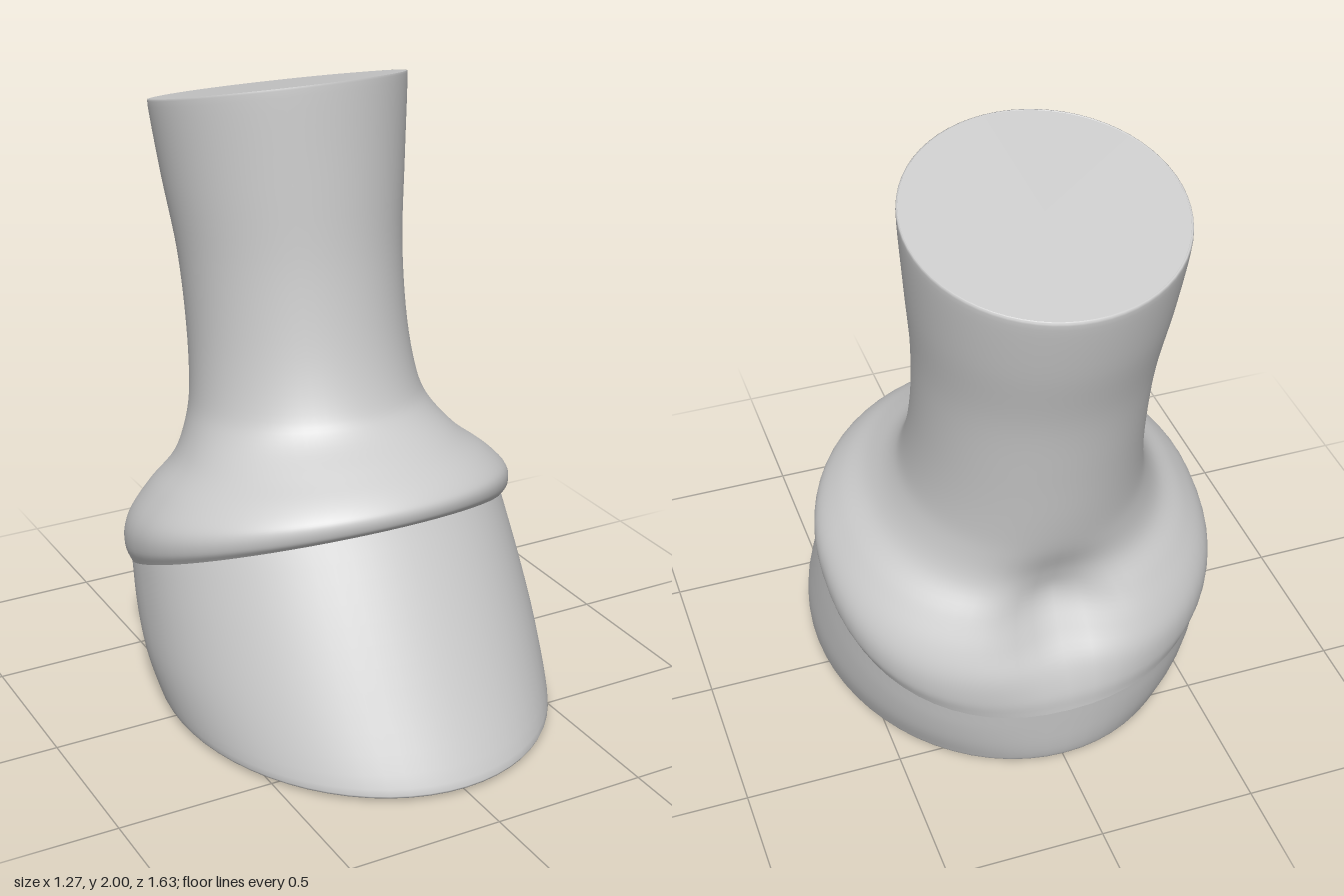
import * as THREE from 'three';

const SIDES = 64;

// Ring: [front z, front y, back z, back y, half width, back squareness, back cleft depth]
function ringPoint(r, j) {
  const [zf, yf, zb, yb, w, square = 2, cleft = 0] = r;
  const a = (j / SIDES) * Math.PI * 2;
  const c = Math.cos(a), s = Math.sin(a);
  const e = c < 0 ? 2 / square : 1;
  const x = w * Math.sign(s) * Math.abs(s) ** e;
  const k = Math.sign(c) * Math.abs(c) ** e;
  const y = (yf + yb) / 2 + k * (yf - yb) / 2;
  let z = (zf + zb) / 2 + k * (zf - zb) / 2;
  if (c < 0) z += cleft * Math.exp(-((x / 0.15) ** 2));
  return [x, y, z];
}

// Smooths a short list of rings into a dense one
function refine(rings, steps) {
  const full = rings.map((r) => [...r, ...[2, 0].slice(r.length - 5)]);
  const spline = (i) => new THREE.CatmullRomCurve3(
    full.map((r) => new THREE.Vector3(r[i], r[i + 1], r[i + 2] ?? 0)), false, 'catmullrom');
  const curves = [spline(0), spline(3), spline(6)];
  const n = (rings.length - 1) * steps;
  return Array.from({ length: n + 1 }, (_, i) =>
    curves.flatMap((c) => c.getPoint(i / n).toArray()).slice(0, 7));
}

// Skins rings listed from top to bottom
function loft(name, rings) {
  const pos = [], idx = [];
  rings.forEach((r) => {
    for (let j = 0; j < SIDES; j++) pos.push(...ringPoint(r, j));
  });
  for (let i = 0; i < rings.length - 1; i++) {
    for (let j = 0; j < SIDES; j++) {
      const k = (j + 1) % SIDES;
      const a = i * SIDES + j, b = a + SIDES, c = (i + 1) * SIDES + k, d = i * SIDES + k;
      idx.push(a, b, c, a, c, d);
    }
  }
  const g = new THREE.BufferGeometry();
  g.setAttribute('position', new THREE.Float32BufferAttribute(pos, 3));
  g.setIndex(idx);
  g.computeVertexNormals();
  const mesh = new THREE.Mesh(g, new THREE.MeshStandardMaterial({ color: 0xcccccc, side: THREE.DoubleSide }));
  mesh.name = name;
  return mesh;
}

export function createModel() {
  const group = new THREE.Group();
  group.name = 'hoofedFoot';

  // Pastern flaring into the coronet band, with a cleft between the heel bulbs
  const coronet = [0.42, 0.715, -0.7, 0.25, 0.612, 2.2, 0];
  const skin = [
    [-0.005, 2.0, -0.805, 1.815, 0.405],
    [0.0, 1.975, -0.81, 1.79, 0.41],
    [0.016, 1.7, -0.765, 1.6, 0.387],
    [0.037, 1.42, -0.7, 1.38, 0.36],
    [0.08, 1.17, -0.655, 1.15, 0.355],
    [0.135, 1.0, -0.62, 0.95, 0.37],
    [0.19, 0.93, -0.6, 0.82, 0.4, 2.05, 0.01],
    [0.3, 0.87, -0.595, 0.7, 0.46, 2.2, 0.05],
    [0.38, 0.825, -0.63, 0.6, 0.545, 2.35, 0.1],
    [0.425, 0.79, -0.67, 0.5, 0.605, 2.4, 0.08],
    [0.44, 0.765, -0.7, 0.41, 0.63, 2.35, 0.04],
    [0.436, 0.735, -0.705, 0.32, 0.63, 2.3, 0.01],
    coronet,
  ];
  group.add(loft('pasternAndCoronet', refine(skin, 5)));

  // Slanted cut across the top of the leg
  group.add(loft('legTop', [[-0.405, 1.9075, -0.405, 1.9075, 0], skin[0]]));

  // Hoof wall with a rounded ground edge
  const wall = [
    coronet,
    [0.555, 0.485, -0.692, 0.18, 0.625, 2.15],
    [0.69, 0.25, -0.682, 0.1, 0.63, 2.05],
    [0.81, 0.04, -0.67, 0.04, 0.613],
    [0.803, 0.01, -0.655, 0.01, 0.597],
    [0.78, 0.0, -0.62, 0.0, 0.57],
  ];
  group.add(loft('hoofWall', refine(wall, 4)));

  // Hollow sole
  const sole = [
    wall[5],
    [0.7, 0.02, -0.54, 0.02, 0.495],
    [0.58, 0.065, -0.42, 0.065, 0.39],
    [0.38, 0.09, -0.22, 0.09, 0.23],
    [0.08, 0.1, 0.08, 0.1, 0],
  ];
  group.add(loft('sole', refine(sole, 3)));

  return group;
}
